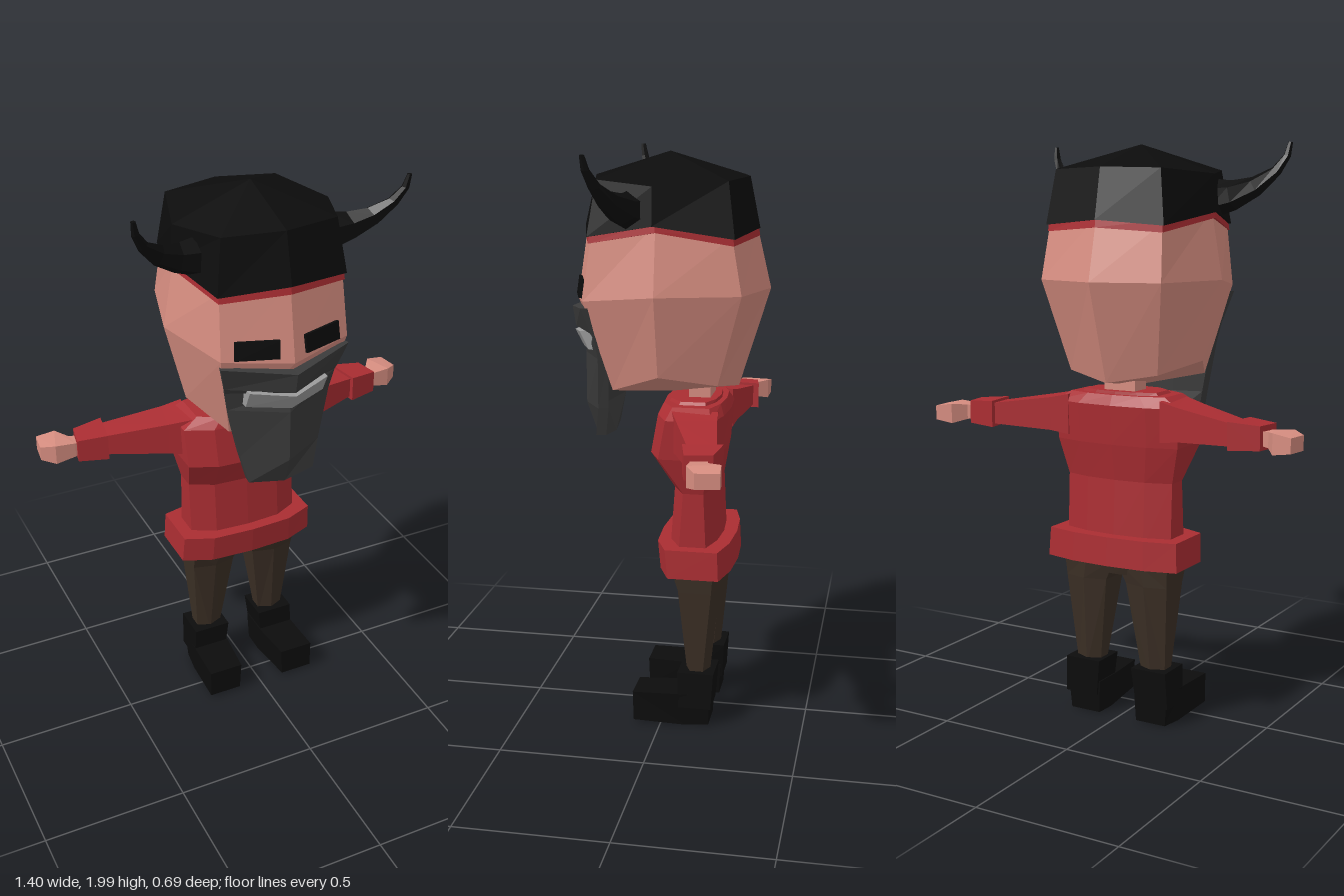
import * as THREE from 'three';

const mat = (color) => new THREE.MeshStandardMaterial({ color, flatShading: true, roughness: 0.9 });

// Closed solid through rings of equal point count; end caps fan to the centroid or a given apex.
function loft(rings, startApex, endApex) {
  const pos = [];
  const n = rings[0].length;
  const tri = (a, b, c) => pos.push(...a, ...b, ...c);
  const mid = (r) => [0, 1, 2].map((k) => r.reduce((s, p) => s + p[k], 0) / n);
  const first = rings[0], last = rings[rings.length - 1];
  const a = startApex || mid(first), b = endApex || mid(last);
  for (let i = 0; i < n; i++) {
    const j = (i + 1) % n;
    tri(a, first[j], first[i]);
    tri(b, last[i], last[j]);
    for (let k = 0; k < rings.length - 1; k++) {
      const r = rings[k], s = rings[k + 1];
      tri(r[i], r[j], s[j]);
      tri(r[i], s[j], s[i]);
    }
  }
  // Turn the faces outward if the rings ran the other way round
  let volume = 0;
  const v = [0, 1, 2].map(() => new THREE.Vector3());
  for (let i = 0; i < pos.length; i += 9) {
    v.forEach((p, k) => p.fromArray(pos, i + k * 3));
    volume += v[0].dot(v[1].clone().cross(v[2]));
  }
  if (volume < 0) {
    for (let i = 0; i < pos.length; i += 9) {
      for (let k = 3; k < 6; k++) [pos[i + k], pos[i + k + 3]] = [pos[i + k + 3], pos[i + k]];
    }
  }
  const g = new THREE.BufferGeometry();
  g.setAttribute('position', new THREE.Float32BufferAttribute(pos, 3));
  g.computeVertexNormals();
  return g;
}

// Full ring from its +x half, listed from front centre to back centre
const ring = (half) => [...half, ...half.slice(1, -1).reverse().map(([x, y, z]) => [-x, y, z])];
// Four-cornered sections: level in y, or across an arm in x
const rectY = (y, x0, x1, z0, z1) => [[x0, y, z0], [x1, y, z0], [x1, y, z1], [x0, y, z1]];
const rectX = (xb, xf, y0, y1, zb, zf) => [[xb, y0, zb], [xf, y0, zf], [xf, y1, zf], [xb, y1, zb]];

export function createModel() {
  const model = new THREE.Group();
  const skin = mat(0xd68d80), red = mat(0xaa2d32), black = mat(0x0c0c0c);
  const brown = mat(0x3b2f25), iron = mat(0x3a3a3a), grey = mat(0x9a9a9a);
  const add = (name, geometry, material, parent = model) => {
    const m = new THREE.Mesh(geometry, material);
    m.name = name;
    parent.add(m);
    return m;
  };

  // Head
  add('head', loft([
    ring([[0, 1.17, 0.19], [0.16, 1.2, 0.17], [0.24, 1.265, 0], [0.17, 1.23, -0.19], [0, 1.2, -0.24]]),
    ring([[0, 1.49, 0.325], [0.225, 1.51, 0.255], [0.31, 1.54, 0], [0.23, 1.54, -0.275], [0, 1.54, -0.345]]),
    ring([[0, 1.75, 0.285], [0.215, 1.73, 0.225], [0.27, 1.77, 0], [0.215, 1.73, -0.24], [0, 1.75, -0.295]]),
  ], [0, 1.17, 0]), skin);

  // Red trim under the cap
  add('capTrim', loft([
    ring([[0, 1.715, 0.295], [0.22, 1.7, 0.235], [0.283, 1.745, 0], [0.22, 1.7, -0.247], [0, 1.715, -0.305]]),
    ring([[0, 1.76, 0.287], [0.217, 1.74, 0.229], [0.278, 1.78, 0], [0.217, 1.74, -0.243], [0, 1.76, -0.297]]),
  ]), red);

  // Cap with a peaked crown
  add('cap', loft([
    ring([[0, 1.74, 0.295], [0.225, 1.722, 0.238], [0.285, 1.765, 0.01], [0.225, 1.722, -0.25], [0, 1.74, -0.305]]),
    ring([[0, 1.91, 0.255], [0.2, 1.905, 0.21], [0.275, 1.89, 0.01], [0.2, 1.905, -0.225], [0, 1.91, -0.27]]),
  ], null, [0, 1.99, 0]), black);

  // Face mask with a notch across the mouth
  const maskRows = [
    // centre y, centre z, edge x, edge y, edge z
    [1.02, 0.265, 0.12, 1.03, 0.24],
    [1.12, 0.3, 0.145, 1.13, 0.225],
    [1.3, 0.3, 0.185, 1.31, 0.215],
    [1.37, 0.285, 0.2, 1.38, 0.225],
    [1.39, 0.335, 0.205, 1.4, 0.235],
    [1.46, 0.347, 0.228, 1.487, 0.262],
  ];
  add('faceMask', loft(maskRows.map(([cy, cz, ex, ey, ez]) => ring([
    [0, cy, cz], [ex, ey, ez], [ex * 0.97, ey, ez - 0.035], [0, cy, cz - 0.07],
  ]))), iron);
  add('mouthPlate', loft([[1.32, 1.333, 0.307], [1.378, 1.396, 0.338]].map(([cy, ey, z]) => ring([
    [0, cy, z], [0.14, ey, z - 0.05], [0.14, ey, z - 0.09], [0, cy, z - 0.06],
  ]))), grey);

  // Eyes and horns
  for (const s of [1, -1]) {
    const side = s > 0 ? 'left' : 'right';
    const eye = add(side + 'Eye', new THREE.BoxGeometry(0.145, 0.062, 0.03), black);
    eye.position.set(s * 0.112, 1.543, 0.279);
    eye.rotation.set(-0.15, s * 0.28, s * 0.06);

    const hornPath = [
      // x, y, z, radius, lean of the section
      [0.24, 1.81, 0.095, 0.064, 0.05],
      [0.3, 1.82, 0.105, 0.05, 0.2],
      [0.37, 1.85, 0.13, 0.034, 0.5],
      [0.43, 1.9, 0.16, 0.019, 0.9],
      [0.46, 1.95, 0.18, 0.013, 1.3],
      [0.468, 1.995, 0.188, 0.008, 1.5],
    ];
    add(side + 'Horn', loft(hornPath.map(([x, y, z, r, lean]) => Array.from({ length: 6 }, (_, i) => {
      const t = (i / 6) * Math.PI * 2, up = Math.cos(t) * r;
      return [s * (x - up * Math.sin(lean)), y + up * Math.cos(lean), z + Math.sin(t) * r * 1.05];
    }))), black);
  }

  // Neck and sweater
  add('neck', loft([rectY(1.1, -0.06, 0.06, -0.15, -0.075), rectY(1.26, -0.06, 0.06, -0.15, -0.075)]), skin);
  const torsoRows = [
    // y, half width, front z, back z
    [0.64, 0.205, -0.015, -0.195],
    [0.86, 0.205, -0.03, -0.185],
    [0.985, 0.235, 0.05, -0.205],
    [1.12, 0.24, 0.025, -0.215],
    [1.155, 0.185, 0.01, -0.2],
  ];
  const bodyRing = ([y, w, f, b]) => ring([
    [0, y, f], [w * 0.6, y, f - 0.008], [w, y, f - 0.05], [w, y, b + 0.035], [w * 0.55, y, b + 0.008], [0, y, b],
  ]);
  add('sweater', loft(torsoRows.map(bodyRing)), red);
  add('sweaterHem', loft([[0.57, 0.255, 0.015, -0.245], [0.67, 0.25, 0.025, -0.24]].map(bodyRing)), red);
  add('collar', loft([[1.14, 0.16, 0, -0.185], [1.165, 0.14, -0.01, -0.18]].map(bodyRing)), red);
  add('hips', loft([[0.53, 0.195, -0.05, -0.19], [0.6, 0.205, -0.015, -0.21]].map(bodyRing)), brown).scale.x = 0.98;

  // Limbs, built on the +x side and mirrored
  const flip = (rings, s) => rings.map((r) => r.map(([x, y, z]) => [x * s, y, z]));
  for (const s of [1, -1]) {
    const limbs = new THREE.Group();
    limbs.name = s > 0 ? 'leftLimbs' : 'rightLimbs';
    model.add(limbs);
    const part = (name, rings, material) => add(name, loft(flip(rings, s)), material, limbs);

    part('sleeve', [
      rectX(0.18, 0.2, 1.005, 1.145, -0.195, -0.04),
      rectX(0.25, 0.28, 1.015, 1.13, -0.202, -0.07),
      rectX(0.47, 0.48, 1.025, 1.098, -0.235, -0.142),
    ], red);
    part('cuff', [
      rectX(0.46, 0.48, 1.015, 1.108, -0.255, -0.125),
      rectX(0.567, 0.583, 1.02, 1.1, -0.238, -0.148),
    ], red);
    part('hand', [
      rectX(0.56, 0.57, 1.035, 1.08, -0.22, -0.17),
      rectX(0.59, 0.585, 1.03, 1.082, -0.225, -0.168),
      rectX(0.625, 0.655, 1.018, 1.088, -0.272, -0.168),
      rectX(0.69, 0.7, 1.028, 1.078, -0.278, -0.2),
    ], skin);

    const legSection = ([y, x0, x1, b, f]) => [
      [x0, y, f - 0.02], [(x0 + x1) / 2, y, f], [x1, y, f - 0.02],
      [x1, y, b + 0.02], [(x0 + x1) / 2, y, b], [x0, y, b + 0.02],
    ];
    part('leg', [
      [0.17, 0.085, 0.175, -0.165, -0.085],
      [0.5, 0.04, 0.2, -0.198, -0.045],
      [0.58, 0.002, 0.205, -0.205, -0.02],
    ].map(legSection), brown);
    part('bootShaft', [
      rectY(0.07, 0.08, 0.205, -0.18, -0.065),
      rectY(0.2, 0.065, 0.2, -0.188, -0.06),
    ], black);
    part('bootFoot', [
      [[0.075, 0.005, -0.17], [0.19, 0.005, -0.17], [0.2, 0.12, -0.175], [0.07, 0.12, -0.175]],
      [[0.075, 0.002, -0.09], [0.2, 0.002, -0.09], [0.205, 0.12, -0.06], [0.07, 0.12, -0.06]],
      [[0.09, 0.012, 0.095], [0.21, 0.012, 0.095], [0.21, 0.118, 0.098], [0.085, 0.118, 0.098]],
    ], black);
  }
  return model;
}
